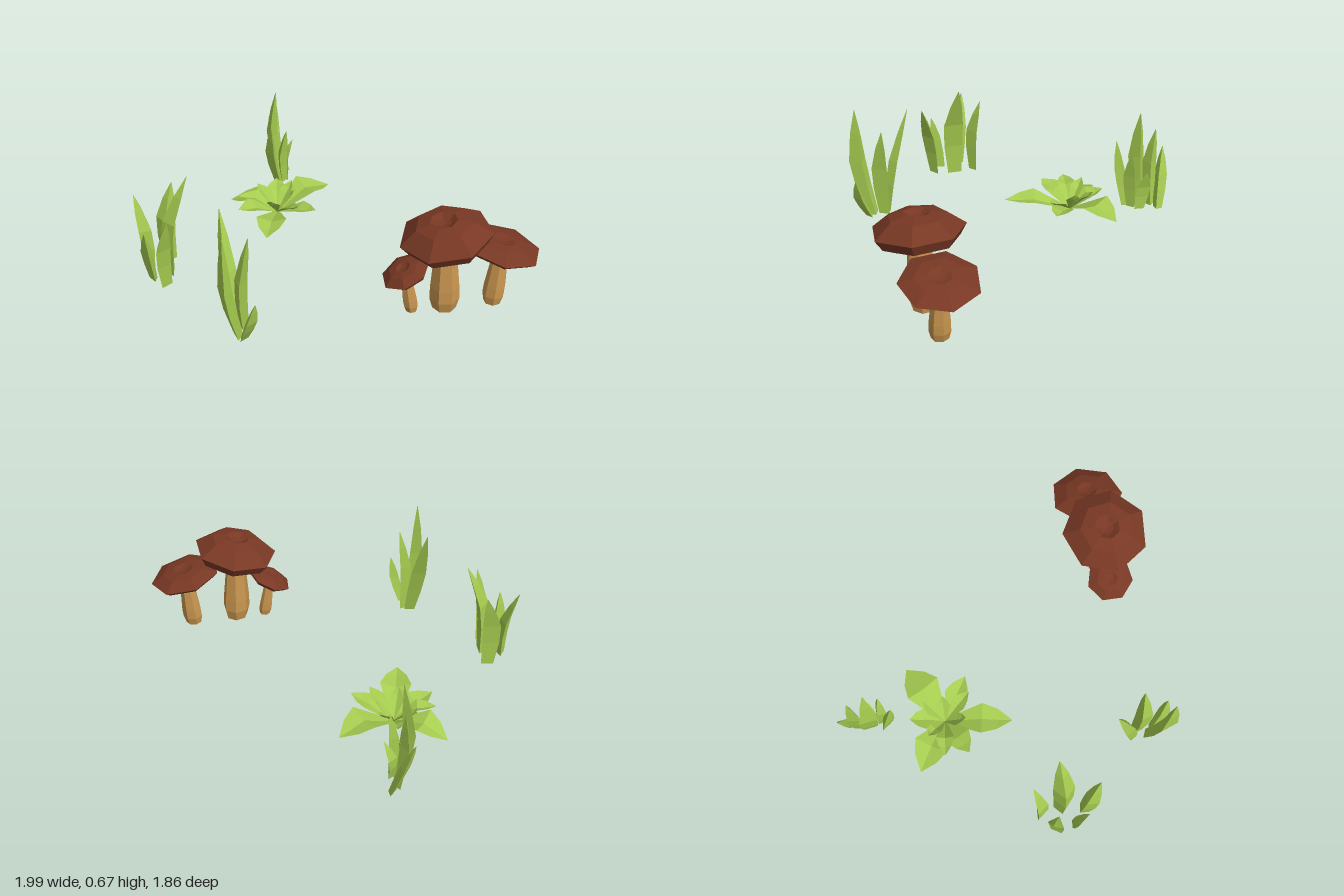
import * as THREE from 'three';

const mat = (color, side = THREE.FrontSide) =>
  new THREE.MeshStandardMaterial({ color, flatShading: true, side });
const CAP = mat(0x783824);
const STEM = mat(0xc9964f);
const GRASS = mat(0xa6cc50);
const LEAF = mat(0xa6cc50, THREE.DoubleSide);

function mesh(name, geometry, material) {
  const m = new THREE.Mesh(geometry, material);
  m.name = name;
  return m;
}

// Skins a list of equally long cross-sections; closed sections also get a base
function loft(rings, closed) {
  const n = rings[0].length;
  const index = [];
  for (let i = 0; i < rings.length - 1; i++) {
    for (let k = 0; k < (closed ? n : n - 1); k++) {
      const a = i * n + k, b = i * n + (k + 1) % n;
      index.push(a, b, b + n, a, b + n, a + n);
    }
  }
  if (closed) for (let k = 1; k < n - 1; k++) index.push(0, k + 1, k);
  const g = new THREE.BufferGeometry().setFromPoints(rings.flat());
  g.setIndex(index);
  const flat = g.toNonIndexed();
  flat.computeVertexNormals();
  return flat;
}

// Grass blade: triangular section swept from base through a bulge to a point
function blade(base, mid, tip, width, facing) {
  const curve = new THREE.CatmullRomCurve3([base, mid, tip].map(p => new THREE.Vector3(...p)));
  const n = new THREE.Vector3(Math.sin(facing), 0, Math.cos(facing));
  const s = new THREE.Vector3(Math.cos(facing), 0, -Math.sin(facing));
  const rings = [[0, 0.7], [0.3, 0.95], [0.55, 1], [0.8, 0.6], [1, 0.03]].map(([t, k]) => {
    const p = curve.getPoint(t), h = width * k / 2;
    const c = p.clone().addScaledVector(n, h * 0.4);
    return [c.clone().addScaledVector(s, -h), c.clone().addScaledVector(s, h),
      p.clone().addScaledVector(n, -h * 0.7)];
  });
  return mesh('grassBlade', loft(rings, true), GRASS);
}

function clump(name, blades) {
  const g = new THREE.Group();
  g.name = name;
  for (const b of blades) g.add(blade(...b));
  return g;
}

// Folded leaf that rises from the plant's heart, kinks and droops to its tip
function leaf([tx, tz, tipY, kinkY, half]) {
  const heart = new THREE.Vector3(-0.2, 0.03, -0.36);
  const dir = new THREE.Vector3(tx - heart.x, 0, tz - heart.z);
  const side = new THREE.Vector3(-dir.z, 0, dir.x).normalize();
  const rings = [[0, 0.15, heart.y], [0.55, 1, kinkY], [0.78, 0.68, kinkY * 0.55 + tipY * 0.45], [1, 0.02, tipY]]
    .map(([t, w, y]) => [-1, 0, 1].map(k => heart.clone().addScaledVector(dir, t)
      .addScaledVector(side, k * w * half).setY(y - (k ? 0 : 0.025 * w))));
  return mesh('leaf', loft(rings, false), LEAF);
}

// Mushroom: seven-sided bulging stem under a tilted cap with a dimple
function mushroom(name, { foot, head, stem, radius, height, tilt, turn }) {
  const g = new THREE.Group();
  g.name = name;
  const [top, bottom] = [new THREE.Vector3(...head), new THREE.Vector3(...foot)];
  const h = top.y - bottom.y;
  const profile = [[0, 0], [0.8, 0], [1, 0.14], [0.98, 0.3], [0.62, 1], [0, 1]];
  const stemGeo = new THREE.LatheGeometry(
    profile.map(([r, y]) => new THREE.Vector2(r * stem, y * h)), 7, turn);
  // lean the stem so it meets the cap
  const p = stemGeo.attributes.position;
  for (let i = 0; i < p.count; i++) {
    const t = p.getY(i) / h;
    p.setX(i, p.getX(i) + t * (top.x - bottom.x));
    p.setZ(i, p.getZ(i) + t * (top.z - bottom.z));
  }
  stemGeo.computeVertexNormals();
  const stemMesh = mesh('stem', stemGeo, STEM);
  stemMesh.position.copy(bottom);
  const rim = [[0, 0], [0.3, -0.1], [0.85, -0.65], [1, 0], [0.62, 0.8], [0.3, 1], [0.16, 0.75], [0, 0.65]];
  const cap = mesh('cap', new THREE.LatheGeometry(
    rim.map(([r, y]) => new THREE.Vector2(r * radius, y * height)), 7, turn), CAP);
  cap.position.copy(top);
  cap.rotation.z = tilt;
  g.add(stemMesh, cap);
  return g;
}

export function createModel() {
  const model = new THREE.Group();
  model.name = 'undergrowth';

  model.add(
    mushroom('largeMushroom', { foot: [0.522, 0.08, 0.7], head: [0.505, 0.525, 0.705],
      stem: 0.077, radius: 0.235, height: 0.085, tilt: 0.18, turn: 0.3 }),
    mushroom('mediumMushroom', { foot: [0.777, 0.075, 0.69], head: [0.802, 0.41, 0.685],
      stem: 0.056, radius: 0.2, height: 0.04, tilt: -0.21, turn: 1.6 }),
    mushroom('smallMushroom', { foot: [0.354, 0.075, 0.7], head: [0.315, 0.318, 0.7],
      stem: 0.037, radius: 0.13, height: 0.034, tilt: 0.46, turn: 0.6 }));

  // Each blade: base, middle, tip, width, direction its broad side faces
  model.add(clump('sideGrass', [
    [[-0.93, 0.04, 0.1], [-0.935, 0.26, 0.09], [-0.99, 0.475, 0.045], 0.09, -2.2],
    [[-0.83, 0.04, 0.03], [-0.84, 0.28, 0.03], [-0.79, 0.5, -0.01], 0.1, 3],
    [[-0.83, 0.04, 0.15], [-0.82, 0.34, 0.155], [-0.71, 0.62, 0.14], 0.115, 1.5],
    [[-0.92, 0.04, 0.2], [-0.94, 0.2, 0.215], [-0.95, 0.36, 0.25], 0.08, -1],
    [[-0.86, 0.04, 0.26], [-0.87, 0.26, 0.28], [-0.83, 0.475, 0.335], 0.09, 0.6]]));

  model.add(clump('frontGrass', [
    [[-0.52, 0.04, 0.635], [-0.55, 0.3, 0.585], [-0.57, 0.63, 0.48], 0.085, 2.9],
    [[-0.52, 0.03, 0.72], [-0.575, 0.32, 0.77], [-0.58, 0.665, 0.775], 0.1, -1.3],
    [[-0.49, 0.04, 0.66], [-0.5, 0.3, 0.67], [-0.45, 0.57, 0.66], 0.09, 1],
    [[-0.5, 0.03, 0.745], [-0.47, 0.16, 0.8], [-0.44, 0.295, 0.825], 0.07, 0.6]]));

  model.add(clump('backGrass', [
    [[-0.13, 0.02, -0.77], [-0.18, 0.28, -0.765], [-0.15, 0.595, -0.755], 0.1, -1.5],
    [[-0.15, 0.02, -0.69], [-0.19, 0.22, -0.67], [-0.195, 0.42, -0.635], 0.08, -1],
    [[-0.12, 0.01, -0.83], [-0.15, 0.25, -0.83], [-0.14, 0.485, -0.85], 0.08, -1.8],
    [[-0.08, 0.0, -0.86], [-0.13, 0.17, -0.89], [-0.18, 0.345, -0.92], 0.075, -2.3],
    [[-0.1, 0.01, -0.75], [-0.1, 0.14, -0.77], [-0.055, 0.26, -0.77], 0.08, 1.4],
    [[-0.12, 0.02, -0.71], [-0.13, 0.2, -0.7], [-0.1, 0.37, -0.69], 0.07, 0.8]]));

  // Each leaf: tip x, tip z, tip height, kink height, half width
  const plant = new THREE.Group();
  plant.name = 'leafyPlant';
  for (const spec of [
    [0.12, -0.51, 0.09, 0.15, 0.1],
    [-0.45, -0.55, 0.015, 0.1, 0.095],
    [-0.3, 0.0, 0.1, 0.12, 0.085],
    [0.0, -0.2, 0.12, 0.11, 0.065],
    [-0.43, -0.27, 0.12, 0.12, 0.07],
    [-0.18, -0.55, 0.135, 0.12, 0.06],
    [-0.42, -0.4, 0.13, 0.14, 0.05],
    [-0.1, -0.2, 0.15, 0.12, 0.045],
    [-0.3, -0.47, 0.16, 0.13, 0.04],
    [-0.1, -0.46, 0.17, 0.13, 0.04],
    [-0.1, -0.35, 0.17, 0.12, 0.04],
    [-0.25, -0.25, 0.17, 0.12, 0.04]]) plant.add(leaf(spec));
  model.add(plant);
  return model;
}
